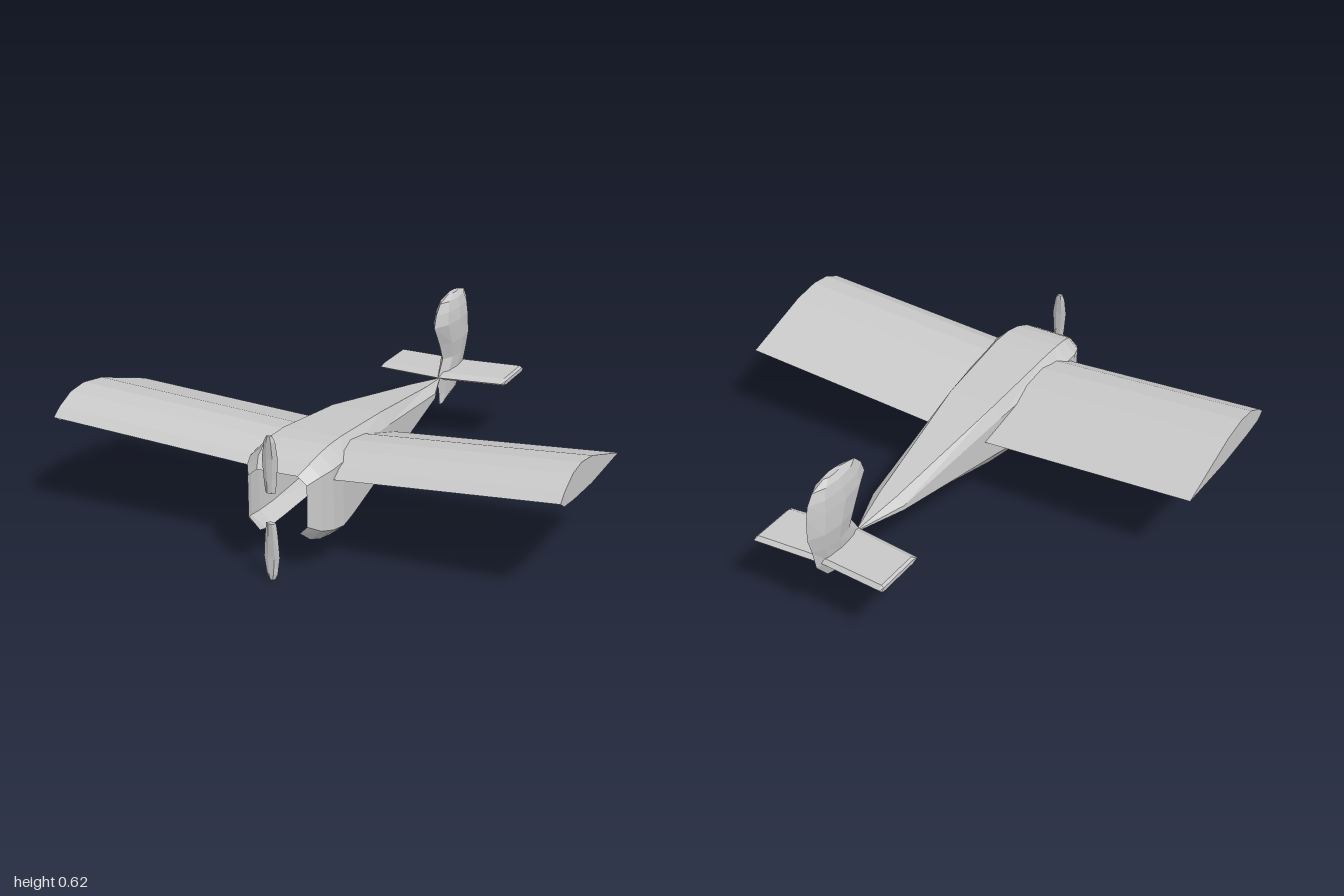
import * as THREE from 'three';

const grey = new THREE.MeshStandardMaterial({ color: 0xc8c8c8, flatShading: true, side: THREE.DoubleSide });
grey.name = 'plain grey';

// Skin a list of cross-sections; closed sections wrap round and get end caps.
function loft(name, sections, closed = false) {
  const rings = [...sections];
  if (closed) {
    const middle = (ring) => {
      const c = [0, 1, 2].map((k) => ring.reduce((s, p) => s + p[k], 0) / ring.length);
      return ring.map(() => c);
    };
    rings.unshift(middle(rings[0]));
    rings.push(middle(rings[rings.length - 1]));
  }
  const n = rings[0].length;
  const index = [];
  for (let i = 0; i < rings.length - 1; i++) {
    for (let j = 0; j < (closed ? n : n - 1); j++) {
      const k = (j + 1) % n;
      const a = i * n + j, b = i * n + k, c = b + n, d = a + n;
      index.push(a, d, c, a, c, b);
    }
  }
  const geometry = new THREE.BufferGeometry();
  geometry.setAttribute('position', new THREE.Float32BufferAttribute(rings.flat(2), 3));
  geometry.setIndex(index);
  const flat = geometry.toNonIndexed();
  flat.computeVertexNormals();
  const mesh = new THREE.Mesh(flat, grey);
  mesh.name = name;
  return mesh;
}

// Hollow fuselage, open at the nose and along the belly
function makeFuselage() {
  // z, half width, top half width, bottom half width, bottom, lower side, upper side, top
  const stations = [
    [0.85, 0.115, 0.08, 0.085, 0.17, 0.2, 0.355, 0.385],
    [0.8, 0.145, 0.1, 0.1, 0.13, 0.17, 0.375, 0.415],
    [0.74, 0.165, 0.11, 0.11, 0.11, 0.155, 0.385, 0.435],
    [0.67, 0.17, 0.115, 0.115, 0.1, 0.145, 0.39, 0.445],
    [0.58, 0.162, 0.115, 0.112, 0.103, 0.15, 0.39, 0.445],
    [0.2, 0.13, 0.1, 0.085, 0.137, 0.2, 0.36, 0.41],
    [-0.4, 0.07, 0.035, 0.025, 0.237, 0.265, 0.285, 0.312],
    [-0.6, 0.005, 0.003, 0.003, 0.268, 0.271, 0.276, 0.279],
  ];
  return loft('fuselage', stations.map(([z, w, tw, bw, y0, y1, y2, y3]) => {
    const half = [[bw, y0], [w, y1], [w, y2], [tw, y3]];
    return [
      ...half.map(([x, y]) => [x, y, z]),
      ...half.reverse().map(([x, y]) => [-x, y, z]),
    ];
  }));
}

// Wing through the body with dihedral, open under the leading edge
function makeWing() {
  const wing = new THREE.Group();
  wing.name = 'wing';
  const profile = [[0.4, 0.352], [0.1, 0.357], [0.41, 0.457], [0.53, 0.475], [0.62, 0.466], [0.7, 0.43], [0.74, 0.4]];
  const drop = 0.065;
  wing.add(loft('wingSkin', [1, 0, -1].map((x) =>
    profile.map(([z, y]) => [x, y - drop * (1 - Math.abs(x)), z]))));

  const outline = [...profile, [0.7, 0.376], [0.6, 0.364]];
  const tip = new THREE.ShapeGeometry(new THREE.Shape(outline.map(([z, y]) => new THREE.Vector2(z, y))));
  tip.rotateY(-Math.PI / 2);
  for (const side of [1, -1]) {
    const cap = new THREE.Mesh(tip, grey);
    cap.name = side > 0 ? 'leftWingTip' : 'rightWingTip';
    cap.position.x = side;
    wing.add(cap);
  }
  return wing;
}

// Rounded lens-shaped fin and rudder
function makeFin() {
  // y, front z, back z, half thickness
  const rows = [
    [0.16, -0.615, -0.64, 0.008],
    [0.2, -0.61, -0.8, 0.018],
    [0.27, -0.59, -0.865, 0.026],
    [0.35, -0.645, -0.885, 0.035],
    [0.42, -0.61, -0.91, 0.044],
    [0.51, -0.55, -0.91, 0.044],
    [0.56, -0.57, -0.9, 0.038],
    [0.6, -0.61, -0.87, 0.028],
    [0.62, -0.7, -0.8, 0.013],
  ];
  return loft('fin', rows.map(([y, f, b, t]) => {
    const at = (s) => b + (f - b) * s;
    return [
      [0, y, b], [t * 0.75, y, at(0.2)], [t, y, at(0.5)], [t * 0.75, y, at(0.8)],
      [0, y, f], [-t * 0.75, y, at(0.8)], [-t, y, at(0.5)], [-t * 0.75, y, at(0.2)],
    ];
  }), true);
}

// Thin tailplane with bevelled edges
function makeTailplane() {
  const rows = [0.28, 0.27, 0, -0.27, -0.28];
  return loft('tailplane', rows.map((x) => {
    const a = Math.abs(x) / 0.28;
    const f = -0.6 - 0.032 * a, b = -0.845 - 0.02 * a;
    const t = Math.abs(x) > 0.275 ? 0.008 : 0.016;
    const y = 0.281;
    return [
      [x, y, b], [x, y + t, b + 0.015], [x, y + t, f - 0.03],
      [x, y, f], [x, y - t, f - 0.03], [x, y - t, b + 0.015],
    ];
  }), true);
}

// One propeller blade, from the root outwards
function makeBlade(name, root, tip) {
  // fraction of length, half width, half depth
  const rows = [[0, 0.02, 0.01], [0.25, 0.026, 0.008], [0.6, 0.031, 0.006], [0.9, 0.022, 0.009], [1, 0.012, 0.008]];
  return loft(name, rows.map(([s, w, d]) => {
    const y = root + (tip - root) * s;
    return [[w, y, 0.9], [w * 0.4, y, 0.9 - d], [-w * 0.4, y, 0.9 - d],
      [-w, y, 0.9], [-w * 0.4, y, 0.9 + d], [w * 0.4, y, 0.9 + d]];
  }), true);
}

export function createModel() {
  const model = new THREE.Group();
  model.name = 'airplane';
  const propeller = new THREE.Group();
  propeller.name = 'propeller';
  propeller.add(makeBlade('upperBlade', 0.33, 0.54), makeBlade('lowerBlade', 0.215, 0));
  model.add(makeFuselage(), makeWing(), makeFin(), makeTailplane(), propeller);
  return model;
}
